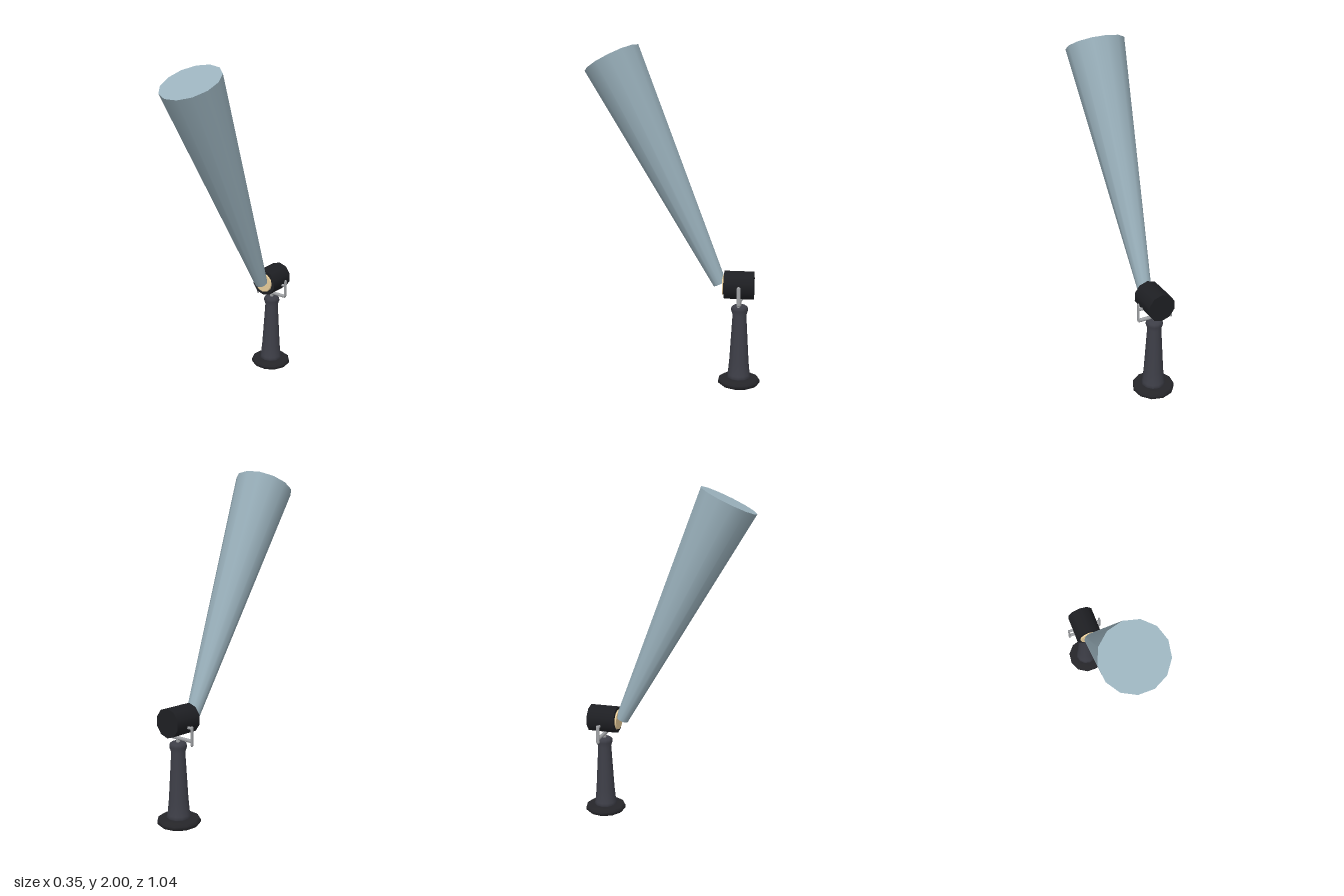
import * as THREE from 'three';

const mat = (color) => new THREE.MeshStandardMaterial({ color });
const BASE = mat(0x26262a), POST = mat(0x3e3f48), BODY = mat(0x1e1f23);
const STEEL = mat(0xa0a2a5), LENS = mat(0xe8cd9a), BEAM = mat(0x9ab1bc);
const AXIS_Z = -0.395; // stand axis

export function createModel() {
  const model = new THREE.Group();
  const add = (name, geometry, material, x, y, z, rx = 0, rz = 0) => {
    const mesh = new THREE.Mesh(geometry, material);
    mesh.name = name;
    mesh.position.set(x, y, z);
    mesh.rotation.set(rx, 0, rz);
    model.add(mesh);
    return mesh;
  };
  const lathe = (points, sides) =>
    new THREE.LatheGeometry(points.map(([r, y]) => new THREE.Vector2(r, y)), sides, Math.PI);

  // Foot disc with bevelled rims
  add('base', lathe([[0, 0], [0.113, 0], [0.125, 0.01], [0.125, 0.026], [0.113, 0.036], [0, 0.038]], 11),
    BASE, 0, 0, AXIS_Z);

  // Tapered post with a collar below and a swollen head
  add('post', lathe([[0.06, 0.034], [0.073, 0.045], [0.066, 0.06], [0.058, 0.14], [0.041, 0.425],
    [0.051, 0.455], [0.048, 0.473], [0.036, 0.482], [0, 0.482]], 12), POST, 0, 0, AXIS_Z);

  // Yoke: pivot, cross bar and two offset arms
  add('yokePivot', new THREE.CylinderGeometry(0.012, 0.012, 0.03, 8), STEEL, 0, 0.491, AXIS_Z);
  add('yokeBar', new THREE.CylinderGeometry(0.011, 0.011, 0.212, 8), STEEL, -0.003, 0.505, AXIS_Z, 0, Math.PI / 2);
  for (const [name, x, y] of [['leftArm', 0.106, 0.56], ['rightArm', -0.109, 0.533]]) {
    const arm = add(name, new THREE.CapsuleGeometry(0.012, 0.094, 3, 8), STEEL, x, y, AXIS_Z);
    arm.scale.x = 0.5;
  }
  // Pins that carry the lamp
  for (const side of [-1, 1])
    add('lampPin', new THREE.CylinderGeometry(0.009, 0.009, 0.03, 8), STEEL,
      side * 0.092, 0.578, AXIS_Z, 0, Math.PI / 2);

  // Lamp housing lying along z, and its lens
  add('lampHousing', new THREE.CylinderGeometry(0.085, 0.085, 0.175, 10), BODY, 0, 0.605, -0.391, Math.PI / 2);
  add('lens', new THREE.CylinderGeometry(0.06, 0.064, 0.014, 12), LENS, 0, 0.605, -0.301, Math.PI / 2);

  // Light beam: long cone frustum leaning forward from the lens
  const low = new THREE.Vector3(0, 0.612, -0.276), high = new THREE.Vector3(0, 1.928, 0.365);
  const mid = low.clone().add(high).multiplyScalar(0.5);
  add('beam', new THREE.CylinderGeometry(0.175, 0.04, low.distanceTo(high), 13, 1, false, Math.PI),
    BEAM, mid.x, mid.y, mid.z, Math.atan2(high.z - low.z, high.y - low.y));

  return model;
}
